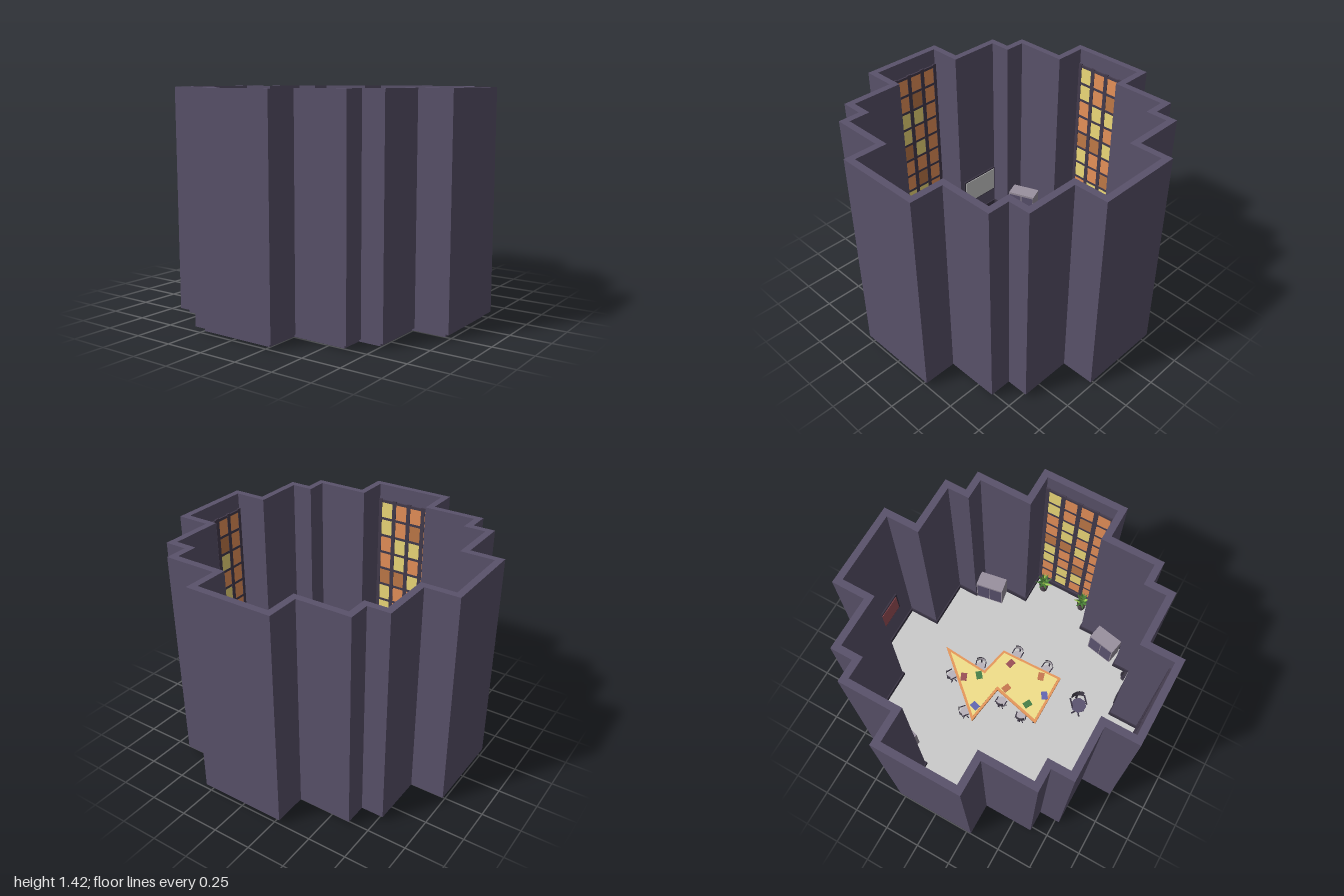
import * as THREE from 'three';

const FLOOR = 0.035;
const mat = (color, opts = {}) => new THREE.MeshStandardMaterial({ color, ...opts });
const M = {
  wall: mat(0x5a526b), dark: mat(0x3a3444), floor: mat(0xcccccc), frame: mat(0x443c4e),
  yellow: mat(0xf2e08a), orange: mat(0xe8985c), paneYellow: mat(0xf0dc7a), paneOrange: mat(0xe8925a),
  paneBrown: mat(0xc07a48), seat: mat(0xbab4bc), cabinet: mat(0x9a919f), board: mat(0xd8d8dc),
  purple: mat(0x5c5470), maroon: mat(0x9c5058), green: mat(0x468048), blue: mat(0x6468b4), rust: mat(0xc87850),
  leaf: mat(0x4a8038, { side: THREE.DoubleSide, flatShading: true }),
  lime: mat(0x9cc850, { side: THREE.DoubleSide, flatShading: true }),
  pot: mat(0x5a5058), soil: mat(0x3a2c26),
  shell: mat(0x4a4452, { side: THREE.DoubleSide }),
};

function add(parent, name, geo, material, x = 0, y = 0, z = 0, ry = 0) {
  const m = new THREE.Mesh(geo, material);
  m.name = name;
  m.position.set(x, y, z);
  m.rotation.y = ry;
  parent.add(m);
  return m;
}
const box = (w, h, d) => new THREE.BoxGeometry(w, h, d);
const cyl = (r1, r2, h, n = 16) => new THREE.CylinderGeometry(r1, r2, h, n);
function group(parent, name, x = 0, y = 0, z = 0, ry = 0) {
  const g = new THREE.Group();
  g.name = name;
  g.position.set(x, y, z);
  g.rotation.y = ry;
  parent.add(g);
  return g;
}

// Stepped cross-shaped plan, shrunk by t on every side
function plan(t) {
  const [a, b, c, d] = [1, 0.78, 0.635, 0.285].map(v => v - t);
  const q = [[a, d], [b, d], [b, c], [c, c], [c, b], [d, b], [d, a]];
  const mirror = (sx, sz) => q.map(([x, z]) => new THREE.Vector2(x * sx, z * sz));
  return [...mirror(1, 1), ...mirror(-1, 1).reverse(), ...mirror(-1, -1), ...mirror(1, -1).reverse()];
}

// Upright prism from a plan (x, z) with an optional hole
function prism(pts, bottom, top, hole) {
  const s = new THREE.Shape(pts);
  if (hole) s.holes.push(new THREE.Path(hole));
  return new THREE.ExtrudeGeometry(s, { depth: top - bottom, bevelEnabled: false })
    .rotateX(Math.PI / 2).translate(0, top, 0);
}

// Moves each side of a counter-clockwise polygon inward by d
function inset(pts, d) {
  return pts.map((p, i) => {
    const a = pts[(i + pts.length - 1) % pts.length], b = pts[(i + 1) % pts.length];
    const normal = (u, v) => new THREE.Vector2(u.y - v.y, v.x - u.x).normalize();
    const n1 = normal(a, p), n2 = normal(p, b);
    return n1.clone().add(n2).multiplyScalar(d / (1 + n1.dot(n2))).add(p);
  });
}

// Tall window: 4 x 9 coloured panes in a lattice, facing local +z
function addWindow(root, name, x, z, ry) {
  const g = group(root, name, x, 0, z, ry);
  const cols = 4, rows = 9, px = 0.115, py = 0.131, top = 1.3;
  const colours = [M.paneYellow, M.paneOrange, M.paneYellow, M.paneBrown, M.paneOrange];
  for (let c = 0; c <= cols; c++)
    add(g, 'windowUpright', box(0.03, rows * py + 0.03, 0.016), M.frame, (c - cols / 2) * px, top - rows * py / 2, 0.002);
  for (let r = 0; r <= rows; r++)
    add(g, 'windowCrossbar', box(cols * px, 0.018, 0.014), M.frame, 0, top - r * py, 0.002);
  for (let c = 0; c < cols; c++)
    for (let r = 0; r < rows; r++)
      add(g, 'windowPane', box(px - 0.03, py - 0.018, 0.008), colours[(c * c + r * 2 + c * r) % 5],
        (c - (cols - 1) / 2) * px, top - (r + 0.5) * py, 0.003);
}

// Chair whose back points towards (bx, bz)
function addChair(root, name, x, z, bx, bz, s, seatMat) {
  const g = group(root, name, x, FLOOR, z, Math.atan2(-bx, -bz));
  g.scale.setScalar(s);
  add(g, 'seat', cyl(0.04, 0.036, 0.014, 8), seatMat, 0, 0.078, 0, Math.PI / 8);
  add(g, 'stem', cyl(0.006, 0.006, 0.07, 8), M.dark, 0, 0.037, 0);
  for (let i = 0; i < 5; i++) {
    const a = i * Math.PI * 2 / 5;
    add(g, 'foot', box(0.007, 0.007, 0.036), M.dark, Math.sin(a) * 0.018, 0.005, Math.cos(a) * 0.018, a);
  }
  const arc = (r, h) => new THREE.CylinderGeometry(r, r, h, 10, 1, true, Math.PI - 0.75, 1.5);
  add(g, 'backrest', arc(0.048, 0.06), M.shell, 0, 0.14, 0);
  add(g, 'backrestPad', arc(0.044, 0.05), seatMat === M.purple ? M.shell : mat(0xbab4bc, { side: THREE.DoubleSide }), 0, 0.14, 0);
  add(g, 'backPost', box(0.01, 0.06, 0.006), M.dark, 0, 0.1, -0.045);
  for (const sx of [-1, 1]) add(g, 'armrest', box(0.007, 0.007, 0.05), M.dark, sx * 0.037, 0.115, -0.012);
}

// Potted plant with rings of pointed leaves
function addPlant(root, x, z) {
  const g = group(root, 'plant', x, FLOOR, z, x * 3 + z * 5);
  add(g, 'pot', cyl(0.038, 0.028, 0.08, 12), M.pot, 0, 0.04, 0);
  add(g, 'soil', cyl(0.033, 0.033, 0.004, 12), M.soil, 0, 0.081, 0);
  for (let ring = 0; ring < 3; ring++)
    for (let i = 0; i < 7; i++) {
      const leaf = new THREE.ConeGeometry(0.017, 0.075, 4).scale(1, 1, 0.3).translate(0, 0.037, 0);
      const a = i * Math.PI * 2 / 7 + ring * 0.45;
      const m = add(g, 'leaf', leaf, (i + ring * 2) % 5 === 0 ? M.lime : M.leaf, 0, 0.085 + ring * 0.025, 0);
      m.rotation.order = 'YXZ';
      m.rotation.set(1.15 - ring * 0.4, a, 0);
    }
}

export function createModel() {
  const root = new THREE.Group();

  // Room shell
  add(root, 'floorBase', prism(plan(0.037), 0, 0.032), M.wall);
  add(root, 'floor', prism(plan(0.044), 0.03, FLOOR), M.floor);
  add(root, 'walls', prism(plan(0), 0.03, 1.42, plan(0.045)), M.wall);
  add(root, 'skirting', prism(plan(0.044), FLOOR, 0.075, plan(0.054)), M.dark);

  addWindow(root, 'frontWindow', 0, 0.953, Math.PI);
  addWindow(root, 'rightWindow', -0.953, 0, Math.PI / 2);
  addWindow(root, 'leftWindow', 0.953, 0, -Math.PI / 2);

  // Picture on the back wall and boards on the front walls
  add(root, 'pictureFrame', box(0.24, 0.2, 0.012), M.dark, 0, 0.45, -0.95);
  add(root, 'picture', box(0.21, 0.17, 0.006), M.maroon, 0, 0.45, -0.943);
  for (const sx of [-1, 1]) {
    add(root, 'boardFrame', box(0.31, 0.2, 0.014), M.dark, sx * 0.425, 0.29, 0.73);
    add(root, 'board', box(0.29, 0.18, 0.008), M.board, sx * 0.425, 0.29, 0.722);
  }

  // Zigzag table with an orange rim
  const table = group(root, 'table', 0, FLOOR, 0);
  const outline = [[0.065, -0.535], [0.04, -0.2], [0.245, -0.155], [0.26, 0.31], [-0.125, 0.31], [-0.04, -0.045], [-0.33, -0.09]]
    .map(([x, z]) => new THREE.Vector2(x, z));
  add(table, 'tableRim', prism(outline, 0.12, 0.14), M.orange);
  add(table, 'tableTop', prism(inset(outline, 0.017), 0.138, 0.143), M.yellow);
  for (const p of inset(outline, 0.03)) add(table, 'tableLeg', cyl(0.009, 0.009, 0.12, 8), M.dark, p.x, 0.06, p.y);

  // Folders on the table
  [[-0.075, -0.305, 0.4, M.maroon], [-0.01, -0.215, 0.7, M.green], [-0.225, -0.125, 1.3, M.blue], [0.18, -0.06, -0.3, M.maroon],
    [0, 0.005, -0.4, M.rust], [-0.03, 0.195, -0.5, M.green], [0.2, 0.18, 0.3, M.rust], [0.085, 0.27, 0.6, M.blue]]
    .forEach(([x, z, r, m]) => add(table, 'folder', box(0.058, 0.005, 0.044), m, x, 0.145, z, r));

  // Chairs around the table and one swivel chair
  [[-0.085, -0.395, -0.8, -0.5], [0.07, -0.25, 0.9, -0.3], [-0.28, -0.175, -0.7, -0.6], [-0.085, 0.015, -1, 0],
    [-0.11, 0.19, -1, 0.2], [0.28, -0.06, 1, 0], [0.285, 0.18, 1, 0.1]]
    .forEach(([x, z, bx, bz]) => addChair(root, 'chair', x, z, bx, bz, 0.95, M.seat));
  addChair(root, 'swivelChair', 0.148, 0.515, 0.75, -0.65, 1.4, M.purple);

  // Cabinets standing at an angle in the corners
  [[-0.65, -0.47, -0.27], [0.653, -0.487, 0.17], [-0.65, 0.473, 0.38], [0.66, 0.462, -0.19]].forEach(([x, z, r]) => {
    const g = group(root, 'cabinet', x, FLOOR, z, r);
    add(g, 'cabinetBody', box(0.11, 0.2, 0.2), M.cabinet, 0, 0.115, 0);
    add(g, 'cabinetPlinth', box(0.095, 0.02, 0.185), M.dark, 0, 0.01, 0);
    for (const sz of [-1, 1])
      add(g, 'cabinetDoor', box(0.004, 0.17, 0.09), M.purple, -Math.sign(x) * 0.055, 0.115, sz * 0.048);
  });

  for (const sx of [-1, 1]) for (const z of [-0.165, 0.16]) addPlant(root, sx * 0.89, z);

  // Waste bin
  const bin = group(root, 'bin', 0.535, FLOOR, 0.7);
  add(bin, 'binBody', new THREE.CylinderGeometry(0.027, 0.021, 0.07, 16, 1, true), M.shell, 0, 0.035, 0);
  add(bin, 'binBottom', cyl(0.021, 0.021, 0.004), M.dark, 0, 0.004, 0);
  add(bin, 'binRim', new THREE.TorusGeometry(0.027, 0.004, 6, 20).rotateX(Math.PI / 2), M.dark, 0, 0.07, 0);

  return root;
}
